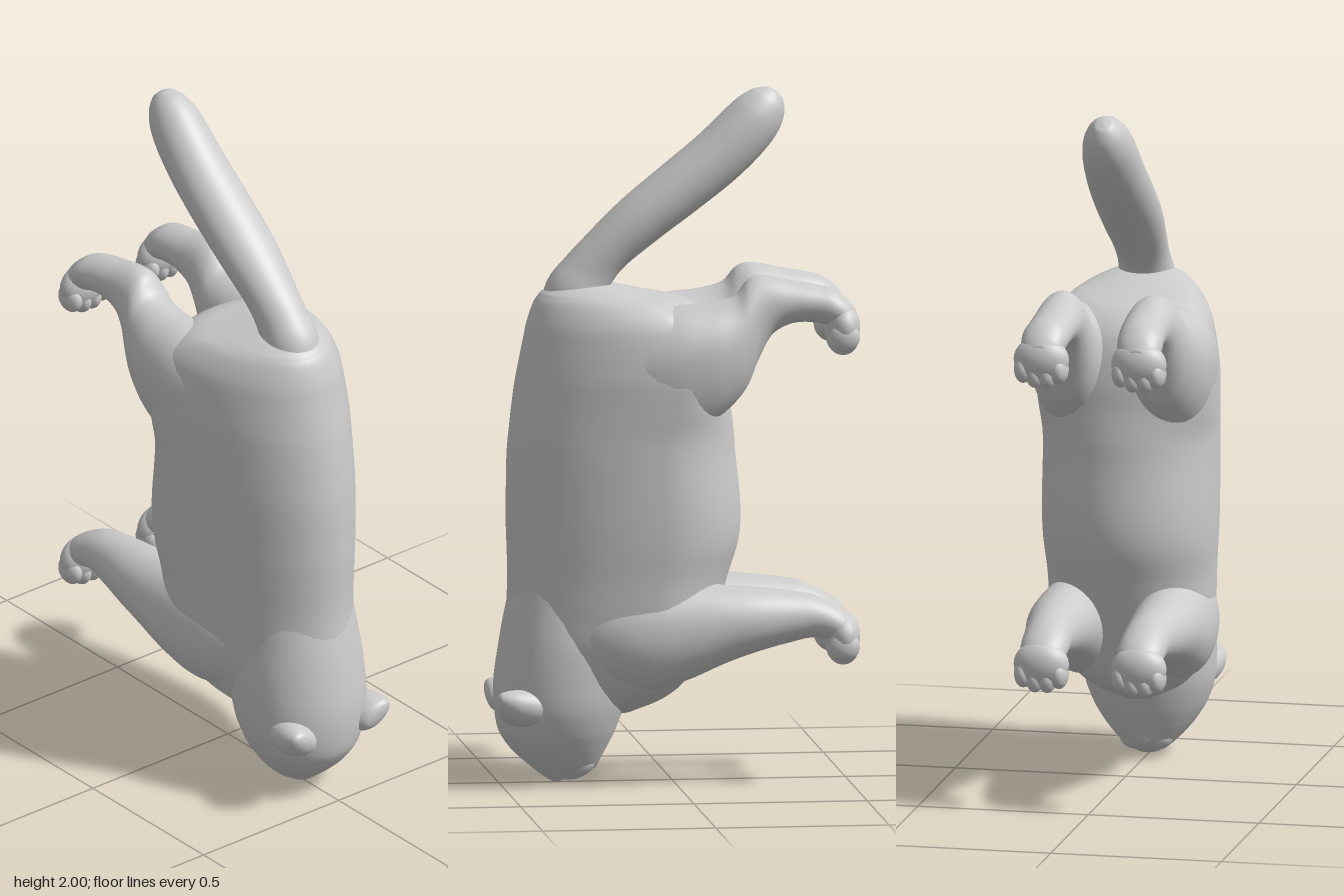
import * as THREE from 'three';

const material = new THREE.MeshStandardMaterial({ color: 0xcccccc, side: THREE.DoubleSide });

// Smooth skin through rows [x, y, z, half width, radius a, radius b].
// Rings face along dir, or along the path itself when dir is omitted;
// radius a points along dir x X, radius b the opposite way.
function loft(rows, dir, perRow = 6, around = 48) {
  const path = new THREE.CatmullRomCurve3(rows.map(r => new THREE.Vector3(r[0], r[1], r[2])));
  const radii = new THREE.CatmullRomCurve3(
    rows.map(r => new THREE.Vector3(r[3], r[4], r[5] ?? r[4])), false, 'catmullrom');
  const n = (rows.length - 1) * perRow;
  const pos = [], index = [];
  const side = new THREE.Vector3(1, 0, 0);
  for (let i = 0; i <= n; i++) {
    const c = path.getPoint(i / n), r = radii.getPoint(i / n);
    const t = dir ? dir.clone() : path.getTangent(i / n).setX(0).normalize();
    const v = t.cross(side);
    for (let j = 0; j < around; j++) {
      const a = (j / around) * Math.PI * 2;
      const s = Math.sin(a) * (Math.sin(a) > 0 ? r.y : r.z);
      pos.push(c.x + Math.cos(a) * r.x, c.y + v.y * s, c.z + v.z * s);
      if (i < n) {
        const p = i * around + j, q = i * around + (j + 1) % around;
        index.push(p, q, p + around, q, q + around, p + around);
      }
    }
  }
  // close both ends
  [0, n].forEach(i => {
    const c = path.getPoint(i / n), k = pos.length / 3;
    pos.push(c.x, c.y, c.z);
    for (let j = 0; j < around; j++) {
      const p = i * around + j, q = i * around + (j + 1) % around;
      if (i === 0) index.push(k, q, p); else index.push(k, p, q);
    }
  });
  const g = new THREE.BufferGeometry();
  g.setAttribute('position', new THREE.Float32BufferAttribute(pos, 3));
  g.setIndex(index);
  g.computeVertexNormals();
  return g;
}

// Row of an upright skin: height, back edge, belly edge, half width,
// and where between belly and back it is widest
const slice = ([y, back, belly, w, split = 0.35]) => {
  const c = belly + (back - belly) * split;
  return [0, y, c, w, back - c, c - belly];
};

export function createModel() {
  const model = new THREE.Group();
  const add = (name, geometry, parent = model) => {
    const m = new THREE.Mesh(geometry, material);
    m.name = name;
    parent.add(m);
    return m;
  };
  const ball = (name, x, y, z, rx, ry, rz, parent) => {
    const m = add(name, new THREE.SphereGeometry(1, 24, 16), parent);
    m.position.set(x, y, z);
    m.scale.set(rx, ry, rz);
  };
  const down = new THREE.Vector3(0, -1, 0);
  const backward = new THREE.Vector3(0, 0, -1);

  // Torso, from rump to chest
  add('torso', loft([
    [1.45, 0.33, 0.24, 0.03], [1.435, 0.355, 0.16, 0.085], [1.415, 0.38, 0.07, 0.14],
    [1.385, 0.4, -0.05, 0.19, 0.3], [1.32, 0.422, -0.12, 0.236, 0.25], [1.2, 0.446, -0.155, 0.259, 0.24],
    [1.1, 0.462, -0.165, 0.257, 0.28], [1.0, 0.473, -0.177, 0.25], [0.8, 0.48, -0.195, 0.25],
    [0.7, 0.478, -0.19, 0.247], [0.6, 0.475, -0.16, 0.239], [0.5, 0.478, -0.13, 0.234, 0.33],
    [0.4, 0.475, -0.09, 0.222, 0.33], [0.3, 0.45, -0.045, 0.183, 0.36], [0.24, 0.42, 0.025, 0.13, 0.4],
    [0.2, 0.34, 0.12, 0.06, 0.5],
  ].map(slice), down));

  // Head, from nape to nose
  add('head', loft([
    [0.62, 0.455, 0.2, 0.15, 0.5], [0.5, 0.482, 0.14, 0.175, 0.5], [0.4, 0.5, 0.11, 0.192, 0.5],
    [0.3, 0.514, 0.12, 0.194, 0.5], [0.22, 0.513, 0.14, 0.187, 0.5], [0.15, 0.5, 0.165, 0.163, 0.5],
    [0.1, 0.467, 0.19, 0.132, 0.5], [0.06, 0.425, 0.212, 0.098, 0.5], [0.03, 0.388, 0.235, 0.066, 0.5],
    [0.01, 0.36, 0.27, 0.034, 0.5],
  ].map(slice), down));
  ball('nose', 0, 0.028, 0.335, 0.03, 0.028, 0.028);
  ball('chin', 0, 0.08, 0.25, 0.05, 0.05, 0.045);

  // Tail
  add('tail', loft([
    [0, 1.27, 0.32, 0.06, 0.06], [0, 1.4, 0.285, 0.08, 0.088], [0, 1.47, 0.245, 0.075, 0.077],
    [0, 1.53, 0.195, 0.078, 0.071],
    [0, 1.62, 0.095, 0.088, 0.077], [0, 1.71, -0.02, 0.09, 0.081], [0, 1.8, -0.132, 0.086, 0.083],
    [0, 1.873, -0.207, 0.08, 0.082], [0, 1.922, -0.25, 0.07, 0.075], [0, 1.96, -0.28, 0.051, 0.056],
    [0, 1.983, -0.297, 0.025, 0.027], [0, 1.987, -0.3, 0.004, 0.004],
  ]));

  // Paired parts, mirrored across the middle; leg radii run down, then up
  const hindRows = [
    [0.1, 1.2, 0.3, 0.05, 0.1, 0.08], [0.118, 1.2, 0.2, 0.098, 0.19, 0.14], [0.133, 1.21, 0.1, 0.117, 0.23, 0.16],
    [0.142, 1.23, 0, 0.123, 0.23, 0.16], [0.146, 1.25, -0.1, 0.114, 0.195, 0.15],
    [0.142, 1.278, -0.165, 0.099, 0.168, 0.142], [0.137, 1.31, -0.2, 0.087, 0.155, 0.15],
    [0.133, 1.355, -0.232, 0.077, 0.125, 0.118], [0.132, 1.385, -0.27, 0.071, 0.085, 0.085],
    [0.132, 1.394, -0.33, 0.068, 0.061, 0.063], [0.135, 1.389, -0.4, 0.066, 0.055],
    [0.14, 1.375, -0.45, 0.066, 0.055], [0.142, 1.355, -0.49, 0.055, 0.045], [0.143, 1.345, -0.512, 0.03, 0.025],
  ];
  const frontRows = [
    [0.09, 0.46, 0.36, 0.05, 0.08], [0.112, 0.45, 0.27, 0.088, 0.12], [0.125, 0.44, 0.18, 0.11, 0.15],
    [0.137, 0.435, 0.08, 0.114, 0.155, 0.16], [0.143, 0.445, -0.03, 0.111, 0.135, 0.145], [0.149, 0.466, -0.13, 0.102, 0.112, 0.116],
    [0.15, 0.478, -0.22, 0.093, 0.092, 0.096], [0.146, 0.485, -0.32, 0.078, 0.073, 0.077], [0.143, 0.485, -0.39, 0.07, 0.06, 0.064],
    [0.142, 0.467, -0.45, 0.068, 0.055], [0.142, 0.45, -0.49, 0.055, 0.045], [0.142, 0.44, -0.512, 0.03, 0.025],
  ];
  const earRows = [
    [0, 0, 0.36, 0.03, 0.025], [0, 0, 0.41, 0.052, 0.048], [0, 0, 0.46, 0.063, 0.05], [0.004, 0.003, 0.492, 0.059, 0.042],
    [0.01, 0.006, 0.512, 0.048, 0.03], [0.018, 0.008, 0.521, 0.028, 0.016], [0.022, 0.008, 0.524, 0.005, 0.004],
  ];
  for (const s of [1, -1]) {
    const label = s > 0 ? 'left' : 'right';
    const mirror = rows => rows.map(([x, ...rest]) => [s * x, ...rest]);
    [['HindLeg', hindRows, 1.335], ['FrontLeg', frontRows, 0.44]].forEach(([name, rows, y]) => {
      const leg = new THREE.Group();
      leg.name = label + name;
      model.add(leg);
      add('leg', loft(mirror(rows), backward), leg);
      ball('paw', s * 0.143, y - 0.01, -0.475, 0.081, 0.066, 0.049, leg);
      // toes
      [-0.052, -0.018, 0.018, 0.052].forEach((dx, i) => {
        const drop = i === 1 || i === 2 ? 0.05 : 0.037;
        ball('toe', s * (0.143 + dx), y - drop, -0.474, 0.027, 0.043, 0.044, leg);
      });
    });

    // Ear: broad blunt flap, its outer side raised
    const ear = add(label + 'Ear', loft(mirror(earRows), new THREE.Vector3(0, 0, 1)));
    ear.position.set(s * 0.131, 0.232, 0);
    ear.rotation.z = s * 0.6;

    // Muzzle cheek
    ball(label + 'Muzzle', s * 0.032, 0.068, 0.28, 0.05, 0.05, 0.055);
  }
  return model;
}
